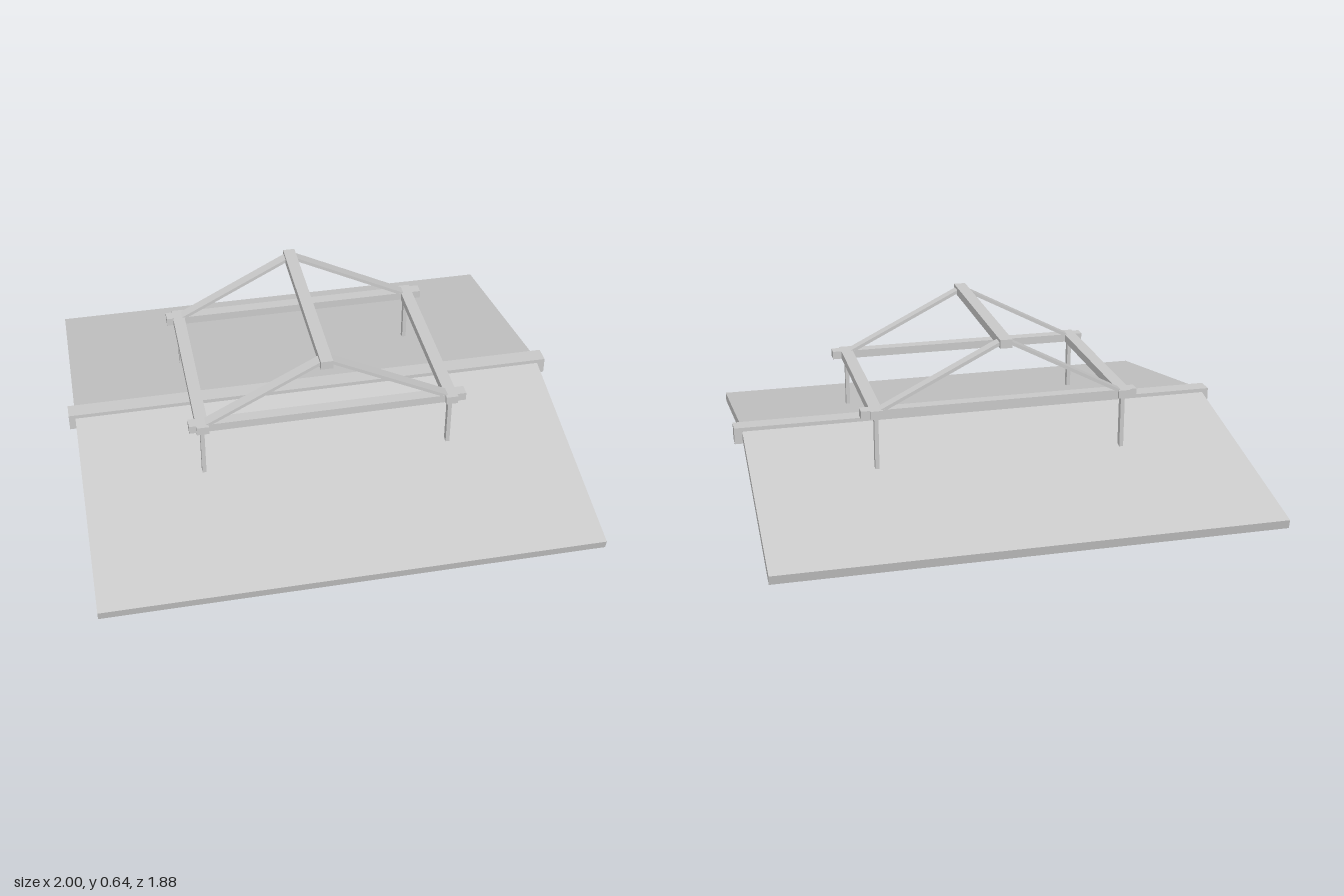
import * as THREE from 'three';

const material = new THREE.MeshStandardMaterial({ color: 0xcccccc, flatShading: true });

export function createModel() {
  const model = new THREE.Group();
  model.name = 'roofWithFrame';

  function box(name, size, position) {
    const mesh = new THREE.Mesh(new THREE.BoxGeometry(...size), material);
    mesh.name = name;
    mesh.position.set(...position);
    model.add(mesh);
    return mesh;
  }

  // Two roof slabs, each falling from the ridge to an eave
  const ridgeY = 0.228, eaveY = 0.036, eaveZ = 0.942, slab = 0.0365;
  const slope = Math.atan2(ridgeY - eaveY, eaveZ);
  const slabLength = Math.hypot(eaveZ, ridgeY - eaveY);
  for (const side of [1, -1]) {
    box(side > 0 ? 'frontRoofSlab' : 'backRoofSlab', [1.942, slab, slabLength], [
      -0.003,
      (ridgeY + eaveY) / 2 - Math.cos(slope) * slab / 2,
      side * (eaveZ / 2 - Math.sin(slope) * slab / 2),
    ]).rotation.x = side * slope;
  }

  // Main beam along the ridge
  box('ridgeBeam', [2, 0.067, 0.067], [0, 0.2035, 0]);

  // Raised frame: posts, side rails, cross rails and rafters
  const postX = [-0.5, 0.485], railZ = [0.367, -0.359];
  const midX = -0.018, midZ = 0.006, railY = 0.381, peakY = 0.626;
  for (const z of railZ) {
    box('sideRail', [1.096, 0.033, 0.046], [-0.003, railY, z]);
    for (const x of postX) {
      box('post', [0.016, 0.225, 0.024], [x, 0.2645, z]);

      // Flat rafter leaning from the cross rail to the peak rail
      const dx = midX - x, dy = 0.636 - 0.383;
      box('rafter', [Math.hypot(dx, dy), 0.013, 0.045], [(x + midX) / 2, (0.636 + 0.383) / 2, z])
        .rotation.z = Math.atan(dy / dx);
    }
  }
  for (const x of postX) box('crossRail', [0.048, 0.033, 0.798], [x, railY, midZ]);
  box('peakRail', [0.048, 0.034, 0.798], [midX, peakY, midZ]);

  return model;
}
